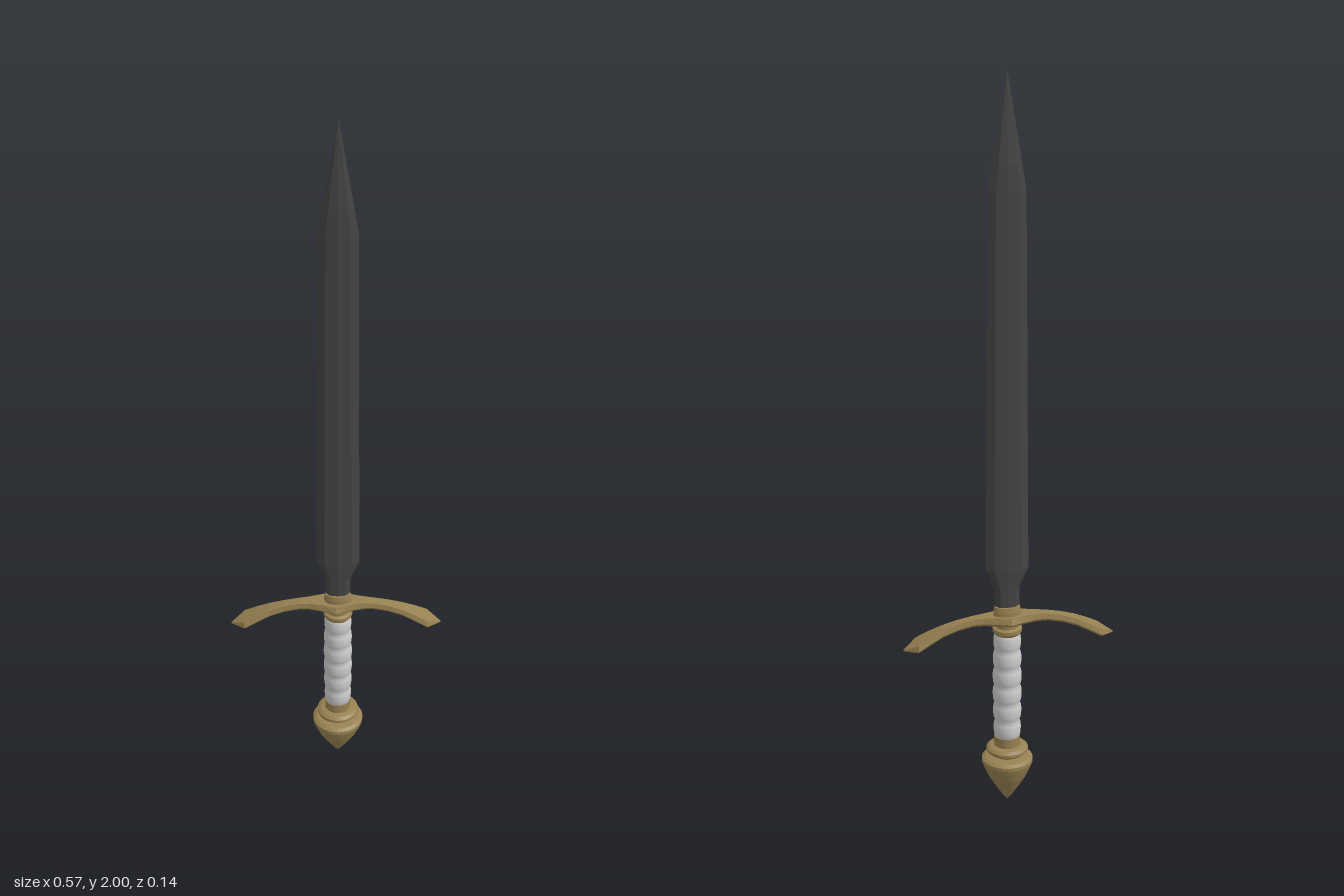
import * as THREE from 'three';

const CX = 0.005; // axis of blade, grip and pommel

const mat = (color, flatShading = false) =>
  new THREE.MeshStandardMaterial({ color, flatShading });

// Skins a list of equal-length rings (counter-clockwise seen from the advance direction).
function loft(rings) {
  const n = rings[0].length, index = [];
  for (let i = 0; i < rings.length - 1; i++) {
    for (let j = 0; j < n; j++) {
      const a = i * n + j, b = i * n + (j + 1) % n;
      index.push(a, b, b + n, a, b + n, a + n);
    }
  }
  const last = (rings.length - 1) * n;
  for (let j = 1; j < n - 1; j++) {
    index.push(0, j + 1, j, last, last + j, last + j + 1);
  }
  const g = new THREE.BufferGeometry();
  g.setAttribute('position', new THREE.Float32BufferAttribute(rings.flat(2), 3));
  g.setIndex(index);
  const flat = g.toNonIndexed();
  flat.computeVertexNormals();
  return flat;
}

const lathe = (pts, sides = 32) =>
  new THREE.LatheGeometry(pts.map(([r, y]) => new THREE.Vector2(r, y)), sides);

export function createModel() {
  const model = new THREE.Group();
  const gold = mat(0x978151, true), steel = mat(0x444444, true), wrap = mat(0xcccccc);

  function add(name, geometry, material, x = CX) {
    const mesh = new THREE.Mesh(geometry, material);
    mesh.name = name;
    mesh.position.x = x;
    model.add(mesh);
    return mesh;
  }

  // Blade: eight-sided lens section; [y, half width, half thickness]
  const bladeSections = [
    [0.56, 0.033, 0.015], [0.635, 0.033, 0.016], [0.69, 0.057, 0.018],
    [1.2, 0.053, 0.017], [1.70, 0.049, 0.016], [1.77, 0.038, 0.015], [2.0, 0.001, 0.001],
  ];
  const lens = [[1, 0], [0.62, -0.8], [0, -1], [-0.62, -0.8], [-1, 0], [-0.62, 0.8], [0, 1], [0.62, 0.8]];
  add('blade', loft(bladeSections.map(([y, w, t]) => lens.map(([x, z]) => [x * w, y, z * t]))), steel);

  // Collar that holds the root of the blade
  const collar = add('bladeCollar', lathe([[0, 0.55], [0.037, 0.55], [0.037, 0.57], [0.034, 0.584], [0, 0.584]]), gold);
  collar.scale.z = 0.62;

  // Crossguard half: [x, middle y, half height, half depth]
  const half = [
    [0.035, 0.548, 0.012, 0.028], [0.07, 0.548, 0.011, 0.018], [0.10, 0.546, 0.010, 0.015],
    [0.14, 0.538, 0.010, 0.016], [0.18, 0.525, 0.010, 0.020], [0.215, 0.508, 0.011, 0.026],
    [0.247, 0.491, 0.011, 0.031], [0.283, 0.480, 0.002, 0.001],
  ];
  const guardSections = [
    ...half.map(([x, ...rest]) => [-x, ...rest]).reverse(),
    [0, 0.548, 0.012, 0.042],
    ...half,
  ];
  add('crossguard', loft(guardSections.map(([x, y, h, d]) => [
    [x, y + h, -d * 0.85], [x, y + h, d * 0.85], [x, y - h * 0.4, d],
    [x, y - h, d * 0.8], [x, y - h, -d * 0.8], [x, y - h * 0.4, -d],
  ])), gold, 0);

  // Stepped ring under the guard
  add('guardRing', lathe([
    [0, 0.505], [0.034, 0.505], [0.039, 0.512], [0.039, 0.522], [0.031, 0.526], [0.031, 0.545], [0, 0.545],
  ]), gold);

  // Grip: a stack of rounded wraps, slightly fuller in the middle
  const gripPoints = [], wraps = 6, y0 = 0.195, y1 = 0.51;
  for (let i = 0; i < wraps; i++) {
    for (let k = 0; k <= 6; k++) {
      const t = (i + k / 6) / wraps;
      const radius = 0.031 + 0.003 * Math.sin(Math.PI * t) + 0.005 * Math.sqrt(Math.sin(Math.PI * Math.min(k / 6, 0.9999)));
      if (k < 6 || i === wraps - 1) gripPoints.push([radius, y0 + (y1 - y0) * t]);
    }
  }
  add('grip', lathe(gripPoints), wrap);

  // Neck and disc between grip and pommel
  add('pommelNeck', lathe([
    [0, 0.125], [0.036, 0.125], [0.036, 0.146], [0.048, 0.149], [0.056, 0.156], [0.056, 0.164],
    [0.048, 0.170], [0.035, 0.173], [0.035, 0.200], [0, 0.200],
  ]), gold);

  // Pommel: pointed bulb
  add('pommel', lathe([
    [0, 0], [0.012, 0.015], [0.033, 0.048], [0.052, 0.08], [0.064, 0.108],
    [0.069, 0.122], [0.069, 0.132], [0.060, 0.138], [0.040, 0.141], [0, 0.141],
  ]), gold);

  return model;
}
